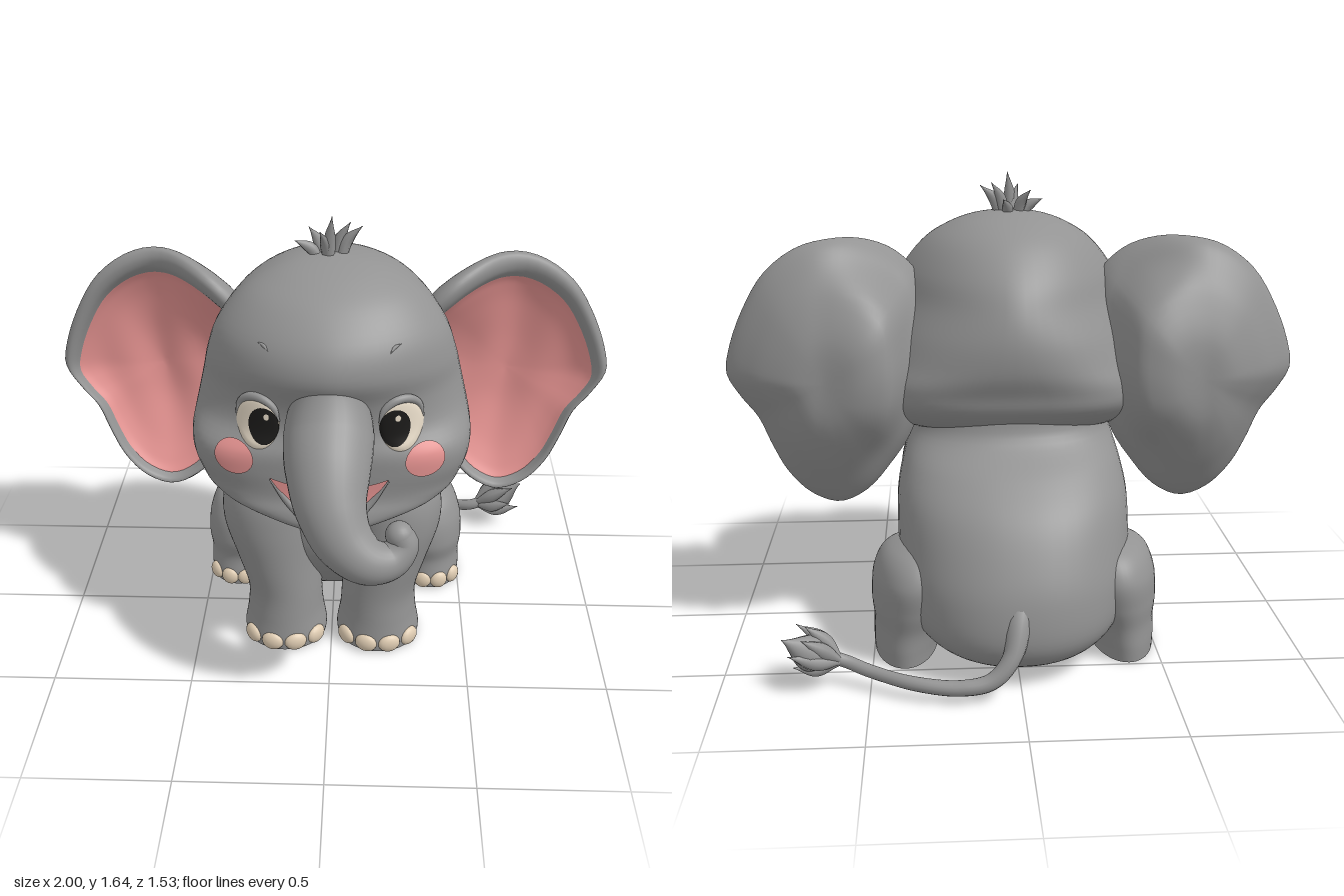
import * as THREE from 'three';
import { mergeVertices } from 'three/addons/utils/BufferGeometryUtils.js';

const mat = (name, color, side = THREE.FrontSide) => {
  const m = new THREE.MeshStandardMaterial({ color, side });
  m.name = name;
  return m;
};
const V = (x, y, z) => new THREE.Vector3(x, y, z);

// Surface from a rule f(u, v); front side is du x dv unless flipped
function grid(nu, nv, f, wrap = false, flip = false) {
  const pos = [], idx = [], n = wrap ? nv : nv + 1;
  for (let i = 0; i <= nu; i++) for (let j = 0; j < n; j++) pos.push(...f(i / nu, j / nv));
  for (let i = 0; i < nu; i++) for (let j = 0; j < nv; j++) {
    const k = (j + 1) % n, a = i * n + j, b = a + n, c = i * n + k, d = c + n;
    if (flip) idx.push(a, c, b, c, d, b);
    else idx.push(a, b, c, c, b, d);
  }
  const g = new THREE.BufferGeometry();
  g.setAttribute('position', new THREE.Float32BufferAttribute(pos, 3));
  g.setIndex(idx);
  const merged = mergeVertices(g, 1e-5);
  merged.computeVertexNormals();
  return merged;
}

// Smooth interpolation through rows of numbers, t in 0..1
function rowAt(rows, t) {
  const last = rows.length - 1, p = Math.min(t * last, last - 1e-9), i = Math.floor(p), f = p - i;
  const at = k => rows[Math.max(0, Math.min(last, k))];
  return rows[i].map((b, c) => {
    const a = at(i - 1)[c], d = at(i + 1)[c], e = at(i + 2)[c];
    return b + 0.5 * f * (d - a + f * (2 * a - 5 * b + 4 * d - e + f * (3 * (b - d) + e - a)));
  });
}

// Horizontal cross-sections; row = [y, centre x, half width, front z, back z, squareness]
function ringPoint([y, cx, w, zf, zb, n = 2], angle, mid) {
  const c = Math.cos(angle), s = Math.sin(angle), e = 2 / n;
  const zc = zb + (zf - zb) * mid, d = s > 0 ? zf - zc : zc - zb;
  return [cx + w * Math.sign(c) * Math.abs(c) ** e, y, zc + d * Math.sign(s) * Math.abs(s) ** e];
}
const loft = (rows, mid = 0.5, steps = 48) =>
  grid(steps, 56, (u, v) => ringPoint(rowAt(rows, u), v * Math.PI * 2, mid), true);
// Flat sole facing down
const sole = (row, mid = 0.5) => grid(1, 56, (u, v) => {
  const p = ringPoint(row, v * Math.PI * 2, mid), zc = row[4] + (row[3] - row[4]) * mid;
  return [row[1] + (p[0] - row[1]) * u, row[0], zc + (p[2] - zc) * u];
}, true);

// Tube whose radius changes along its path
function taper(points, radii, seg = 40, sides = 20) {
  const curve = new THREE.CatmullRomCurve3(points.map(p => V(...p)));
  const g = new THREE.TubeGeometry(curve, seg, 1, sides), p = g.attributes.position, q = V(0, 0, 0);
  const rows = radii.map(r => [r]);
  for (let i = 0; i <= seg; i++) {
    const c = curve.getPointAt(i / seg), r = Math.max(0.0005, rowAt(rows, i / seg)[0]);
    for (let j = 0; j <= sides; j++) {
      const k = i * (sides + 1) + j;
      q.fromBufferAttribute(p, k).sub(c).multiplyScalar(r).add(c);
      p.setXYZ(k, q.x, q.y, q.z);
    }
  }
  return g;
}

const HEAD = [
  [0.615, 0, 0.03, 0.45, 0.38, 2.3], [0.63, 0, 0.1, 0.47, 0.33, 2.3], [0.66, 0, 0.21, 0.48, 0.22, 2.3],
  [0.7, 0, 0.34, 0.47, 0.08, 2.4], [0.74, 0, 0.42, 0.455, -0.1, 2.6], [0.78, 0, 0.455, 0.452, -0.25, 2.8],
  [0.85, 0, 0.48, 0.455, -0.33, 3.1], [0.92, 0, 0.484, 0.455, -0.355, 3], [1.0, 0, 0.468, 0.435, -0.385, 2.3],
  [1.1, 0, 0.445, 0.455, -0.39, 1.95], [1.2, 0, 0.422, 0.5, -0.365, 1.75], [1.3, 0, 0.385, 0.475, -0.31, 1.8],
  [1.4, 0, 0.305, 0.385, -0.215, 1.95], [1.46, 0, 0.215, 0.29, -0.12, 2], [1.495, 0, 0.12, 0.2, -0.01, 2],
  [1.51, 0, 0.01, 0.12, 0.08, 2]];
const HM = 0.62;

// Depth of the face at x, y
function faceZ(x, y) {
  let lo = 0, hi = 1;
  for (let k = 0; k < 24; k++) {
    const m = (lo + hi) / 2;
    if (rowAt(HEAD, m)[0] < y) lo = m; else hi = m;
  }
  const [, , w, zf, zb, n] = rowAt(HEAD, lo), zc = zb + (zf - zb) * HM;
  return zc + (zf - zc) * Math.max(0, 1 - Math.abs(x / w) ** n) ** (1 / n);
}

export function createModel() {
  const grey = mat('grey skin', 0x939393), pink = mat('pink skin', 0xe89593, THREE.DoubleSide);
  const cream = mat('cream nail', 0xdfccb2), white = mat('eye white', 0xe6dac7);
  const black = mat('black pupil', 0x1b1a19);
  const root = new THREE.Group();
  root.name = 'elephant';
  const add = (name, geo, m) => {
    const mesh = new THREE.Mesh(geo, m);
    mesh.name = name;
    root.add(mesh);
    return mesh;
  };
  const patch = (name, m, cx, cy, rx, ry, off) => add(name, grid(8, 32, (u, v) => {
    const x = cx + rx * u * Math.cos(v * Math.PI * 2), y = cy + ry * u * Math.sin(v * Math.PI * 2);
    return [x, y, faceZ(x, y) + off(x, y)];
  }, true), m);

  // Body, head and trunk
  const body = [[0.04, 0, 0.12, -0.25, -0.52], [0.07, 0, 0.26, -0.07, -0.64], [0.15, 0, 0.36, 0.08, -0.7],
    [0.28, 0, 0.4, 0.2, -0.695], [0.4, 0, 0.41, 0.27, -0.655], [0.54, 0, 0.41, 0.295, -0.575],
    [0.65, 0, 0.39, 0.295, -0.46], [0.75, 0, 0.36, 0.275, -0.32], [0.85, 0, 0.33, 0.22, -0.285], [0.92, 0, 0.2, 0.1, -0.2]]
    .map(r => [...r, 2.2]);
  add('body', loft(body), grey);
  add('bodyUnderside', sole(body[0]), grey);
  add('head', loft(HEAD, HM, 72), grey);
  add('trunk', taper([[0, 1.18, 0.36], [0, 1.1, 0.4], [0, 1.02, 0.46], [0, 0.93, 0.555], [0.012, 0.83, 0.622],
    [0.055, 0.73, 0.66], [0.13, 0.66, 0.67], [0.207, 0.645, 0.64], [0.25, 0.685, 0.61], [0.235, 0.72, 0.605]],
    [0.08, 0.128, 0.148, 0.145, 0.13, 0.112, 0.097, 0.08, 0.063, 0.046], 80, 32), grey);
  add('trunkTip', new THREE.SphereGeometry(0.047, 20, 14), grey).position.set(0.235, 0.72, 0.605);

  // Mouth, tongue and lower lip
  const lipY = x => 0.675 + 0.165 * (x / 0.2) ** 2;
  add('mouth', grid(28, 8, (u, v) => {
    const x = -0.2 + 0.4 * u, top = 0.8 + 0.04 * (x / 0.2) ** 2, y = lipY(x) + (top - lipY(x)) * v;
    return [x, y, faceZ(x, y) + 0.009];
  }), pink);
  const tongue = add('tongue', new THREE.SphereGeometry(1, 24, 14), pink);
  tongue.scale.set(0.1, 0.034, 0.055);
  tongue.position.set(0, 0.702, 0.465);
  add('lowerLip', taper([-0.2, -0.13, -0.06, 0, 0.06, 0.13, 0.2].map(x => [x, lipY(x) - 0.01, faceZ(x, lipY(x)) + 0.002]),
    [0.003, 0.013, 0.019, 0.021, 0.019, 0.013, 0.003]), grey);

  // Ear outline, clockwise from the upper inner edge
  const outline = new THREE.CatmullRomCurve3([[0.32, 1.28], [0.4, 1.37], [0.5, 1.42], [0.6, 1.435], [0.73, 1.41],
    [0.85, 1.325], [0.93, 1.2], [0.985, 1.06], [0.998, 0.97], [0.955, 0.89], [0.895, 0.81], [0.85, 0.7],
    [0.8, 0.6], [0.72, 0.515], [0.62, 0.48], [0.52, 0.525], [0.43, 0.63], [0.36, 0.74], [0.31, 0.9], [0.3, 1.1]]
    .map(p => V(p[0], p[1], 0)), true);
  const step = THREE.MathUtils.smoothstep;
  // Ear profiles: [scale from the middle, depth, downward shift]
  const inner = [[0, -0.105, 0.03], [0.3, -0.1, 0.03], [0.6, -0.08, 0.03], [0.78, -0.055, 0.03], [0.86, -0.035, 0.03]];
  const rim = [[0.86, -0.035, 0.03], [0.9, -0.008, 0.02], [0.95, 0, 0.01], [0.985, -0.01, 0], [1, -0.028, 0],
    [0.985, -0.052, 0], [0.93, -0.085, 0], [0.8, -0.13, 0], [0.6, -0.185, 0], [0.3, -0.235, 0], [0, -0.243, 0]];
  const ear = (rows, s, ridge) => grid(rows.length * 4, 72, (u, v) => {
    const [k, dz, drop] = rowAt(rows, u), p = outline.getPoint(v);
    const x = 0.64 + k * (p.x - 0.64), y = 0.97 - drop + k * (p.y - 0.97), near = 1 - step(x, 0.38, 0.68);
    const fold = 0.16 * near * step(y, 0.95, 1.3) * (1 + dz / 0.25);
    const root = 0.09 * near * step(-dz, 0.105, 0.18) * step(y, 0.6, 0.9);
    const tilt = 0.03 * (1 - step(y, 0.48, 0.85));
    const wave = ridge * Math.sin(26 * (x - 0.25 * y)) * Math.max(0, 0.86 - k);
    return [s * x, y, -0.1 + fold - root + tilt + dz + wave];
  }, true, s > 0);

  const nails = (name, row, mid, r) => [-0.88, -0.29, 0.29, 0.88].forEach(a => {
    const nail = add(name, new THREE.SphereGeometry(1, 16, 12), cream);
    const [x, , z] = ringPoint(row, Math.PI / 2 - a, mid);
    nail.scale.set(r, 0.036, 0.022);
    nail.position.set(x, 0.035, z);
    nail.rotation.y = a;
  });

  // Paired parts
  for (const s of [1, -1]) {
    const side = s > 0 ? 'left' : 'right';
    add(side + 'Ear', ear(rim, s, 0), grey);
    add(side + 'EarInside', ear(inner, s, 0.016), pink);

    const front = [[0, 0.175, 0.152, 0.312, 0], [0.04, 0.175, 0.155, 0.315, 0], [0.12, 0.175, 0.142, 0.31, 0],
      [0.22, 0.177, 0.138, 0.307, 0], [0.35, 0.2, 0.152, 0.315, -0.02], [0.5, 0.222, 0.175, 0.325, -0.05],
      [0.62, 0.22, 0.17, 0.318, -0.05], [0.72, 0.2, 0.13, 0.28, 0], [0.78, 0.19, 0.03, 0.2, 0.1]];
    const hind = [[0, 0.388, 0.113, -0.1, -0.49], [0.05, 0.385, 0.118, -0.095, -0.495], [0.12, 0.375, 0.126, -0.1, -0.5],
      [0.2, 0.36, 0.148, -0.08, -0.52], [0.3, 0.345, 0.152, -0.09, -0.53], [0.38, 0.33, 0.12, -0.14, -0.48],
      [0.43, 0.31, 0.02, -0.27, -0.36]];
    for (const [name, rows, mid, r] of [['FrontLeg', front, 0.5, 0.042], ['HindLeg', hind, 0.64, 0.035]]) {
      const own = rows.map(([y, cx, ...rest]) => [y, cx * s, ...rest]);
      add(side + name, loft(own, mid), grey);
      add(side + name + 'Sole', sole(own[0], mid), grey);
      nails(side + name + 'Nail', own[0], mid, r);
    }

    // Eye, eyelid, brow and blush
    const ex = 0.238 * s, ey = 1.03, rx = 0.074, ry = 0.091;
    const bulge = (x, y) => 0.004 + 0.022 * Math.sqrt(Math.max(0, 1 - ((x - ex) / rx) ** 2 - ((y - ey) / ry) ** 2));
    patch(side + 'Eye', white, ex, ey, rx, ry, bulge);
    patch(side + 'Pupil', black, 0.216 * s, 1.025, 0.051, 0.065, (x, y) => bulge(x, y) + 0.004);
    patch(side + 'EyeGlint', white, 0.216 * s + 0.01, 1.06, 0.01, 0.012, (x, y) => bulge(x, y) + 0.008);
    add(side + 'Eyelid', taper([0.1, 0.7, 1.3, 1.9, 2.5, 3.05].map(a => {
      const x = ex + rx * Math.cos(a), y = ey + ry * Math.sin(a);
      return [x, y, faceZ(x, y) + 0.005];
    }), [0.003, 0.011, 0.015, 0.015, 0.011, 0.003], 24, 10), grey);
    add(side + 'Brow', taper([[0.195, 1.29], [0.21, 1.305], [0.23, 1.31]].map(([x, y]) => [x * s, y, faceZ(x, y)]),
      [0.001, 0.006, 0.001], 12, 8), grey);
    patch(side + 'Blush', pink, 0.32 * s, 0.9, 0.067, 0.061, () => 0.006);
  }

  // Tuft of hair: [base x, base z, tip x, tip y, tip z]
  for (const [bx, bz, tx, ty, tz] of [[-0.05, 0.1, -0.125, 1.545, 0.1], [-0.035, 0.09, -0.08, 1.58, 0.06],
    [-0.01, 0.12, 0.0, 1.64, 0.13], [-0.015, 0.11, -0.04, 1.595, 0.15], [0.015, 0.09, 0.06, 1.605, 0.08],
    [0.03, 0.1, 0.1, 1.595, 0.09], [0.0, 0.07, 0.02, 1.55, 0.02]])
    add('hair', taper([[bx, 1.49, bz], [bx + (tx - bx) * 0.3, 1.49 + (ty - 1.49) * 0.55, bz + (tz - bz) * 0.5], [tx, ty, tz]],
      [0.018, 0.019, 0.001], 14, 8), grey);

  // Tail and its tuft
  add('tail', taper([[0, 0.33, -0.6], [0.01, 0.24, -0.67], [0.035, 0.14, -0.715], [0.1, 0.07, -0.737], [0.2, 0.05, -0.74],
    [0.35, 0.055, -0.71], [0.5, 0.065, -0.63], [0.58, 0.085, -0.595], [0.64, 0.11, -0.6]],
    [0.06, 0.045, 0.032, 0.028, 0.026, 0.024, 0.022, 0.022, 0.022], 60, 14), grey);
  add('tailTuft', taper([[0.6, 0.09, -0.6], [0.69, 0.125, -0.61], [0.79, 0.18, -0.62]], [0.015, 0.062, 0.001], 20, 14), grey);
  for (let k = 0; k < 7; k++) {
    const a = k / 7 * Math.PI * 2, c = Math.cos(a), d = Math.sin(a);
    const at = (x, r) => [x - 0.3 * r * c, 0.09 + (x - 0.6) * 0.42 + r * c, -0.6 + r * d];
    add('tailTuftLock', taper([at(0.605, 0.008), at(0.67, 0.05), at(0.735 + 0.025 * (k % 2), 0.07)],
      [0.012, 0.027, 0.001], 14, 8), grey);
  }
  return root;
}
